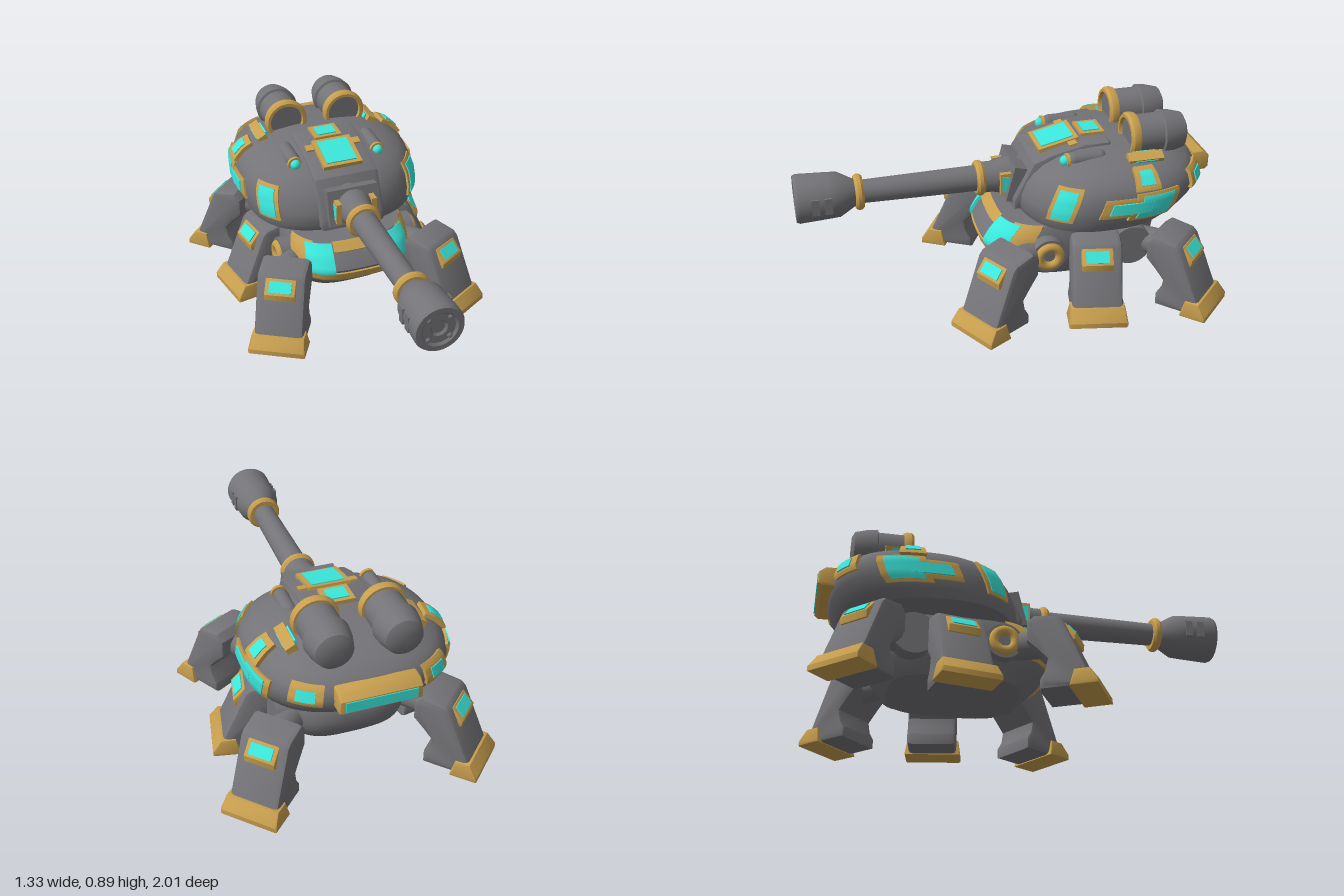
import * as THREE from 'three';
import { mergeVertices, toCreasedNormals } from 'three/addons/utils/BufferGeometryUtils.js';

const mat = (name, color) => Object.assign(new THREE.MeshStandardMaterial({ color }), { name });
const rad = THREE.MathUtils.degToRad;

export function createModel() {
  const grey = mat('hull grey', 0x747478);
  const gold = mat('trim gold', 0xc89f4e);
  const cyan = mat('glow cyan', 0x3cebdf);
  const model = new THREE.Group();
  model.name = 'walkerTank';

  const add = (name, geo, material, pos = [0, 0, 0], rot = [0, 0, 0], parent = model) => {
    const m = new THREE.Mesh(geo, material);
    m.name = name;
    m.position.set(...pos);
    m.rotation.set(...rot);
    parent.add(m);
    return m;
  };
  const box = (x, y, z) => new THREE.BoxGeometry(x, y, z);

  // Grid of points from a rule, with smooth normals and sharp creases
  function grid(fn, nu, nv) {
    const pos = [], idx = [];
    for (let j = 0; j <= nv; j++) for (let i = 0; i <= nu; i++) pos.push(...fn(i, j).toArray());
    for (let j = 0; j < nv; j++) for (let i = 0; i < nu; i++) {
      const a = j * (nu + 1) + i, c = a + nu + 1;
      idx.push(a, a + 1, c + 1, a, c + 1, c);
    }
    const g = new THREE.BufferGeometry();
    g.setAttribute('position', new THREE.Float32BufferAttribute(pos, 3));
    g.setIndex(idx);
    return toCreasedNormals(mergeVertices(g, 1e-5), 0.7);
  }

  // Rounded-square shell; each level is [y, half width, front z, back z]
  function shell(levels, n) {
    const at = (L, t) => {
      const s = Math.sin(t), c = Math.cos(t);
      const r = Math.pow(Math.abs(s) ** n + Math.abs(c) ** n, -1 / n);
      return new THREE.Vector3(s * r * L[1], L[0], (L[2] + L[3]) / 2 + c * r * (L[2] - L[3]) / 2);
    };
    const point = (t, y) => {
      let k = 0;
      while (k < levels.length - 2 && levels[k + 1][0] < y) k++;
      const A = levels[k], B = levels[k + 1], f = (y - A[0]) / (B[0] - A[0]);
      return at(A.map((a, i) => a + (B[i] - a) * f), t);
    };
    const normal = (t, y) => {
      const du = point(t + 0.01, y).sub(point(t - 0.01, y));
      const dv = point(t, y + 0.003).sub(point(t, y - 0.003));
      return du.cross(dv).normalize();
    };
    const geo = grid((i, j) => at(levels[j], i === 64 ? -Math.PI : -Math.PI + i * Math.PI / 32), 64, levels.length - 1);
    // Raised panel that follows the shell between two angles and two heights
    const panel = (name, material, a0, a1, y0, y1, h) => {
      const n = 12, k = i => Math.min(1, Math.max(0, (i - 1) / (n - 2)));
      const g = grid((i, j) => {
        const t = rad(a0 + (a1 - a0) * k(i)), y = y0 + (y1 - y0) * k(j);
        const rim = i === 0 || j === 0 || i === n || j === n;
        return point(t, y).addScaledVector(normal(t, y), rim ? -0.006 : h);
      }, n, n);
      add(name, g, material);
    };
    // The same panel on both sides
    const panels = (name, material, a0, a1, ...rest) => {
      panel(name, material, a0, a1, ...rest);
      panel(name, material, -a1, -a0, ...rest);
    };
    // Gold frame with a glowing pane inside, on both sides
    const windows = (name, a0, a1, y0, y1, da, dy, h = 0.01) => {
      panels(name + 'Frame', gold, a0, a1, y0, y1, h);
      panels(name + 'Pane', cyan, a0 + da, a1 - da, y0 + dy, y1 - dy, h + 0.005);
    };
    return { geo, panel, panels, windows };
  }

  // Lower body with its chest trim
  const body = shell([
    [0.129, 0, -0.3, -0.3], [0.13, 0.26, -0.01, -0.63], [0.2, 0.3, 0.07, -0.7], [0.25, 0.308, 0.12, -0.73],
    [0.3, 0.31, 0.135, -0.74], [0.355, 0.308, 0.1, -0.73], [0.408, 0.295, 0.04, -0.7], [0.412, 0, -0.3, -0.3]], 3.2);
  add('body', body.geo, grey);
  body.panel('chestBand', gold, -56, 56, 0.24, 0.288, 0.01);
  body.panel('chestTopTrim', gold, -24, 24, 0.372, 0.406, 0.01);
  body.panels('chestEdge', gold, 40, 60, 0.265, 0.406, 0.011);
  body.panels('chestPane', cyan, 25, 46, 0.288, 0.404, 0.014);
  add('turretNeck', new THREE.CylinderGeometry(0.22, 0.22, 0.07, 32), grey, [0, 0.42, -0.38]);

  // Turret
  const turret = shell([
    [0.429, 0, -0.45, -0.45], [0.43, 0.42, -0.05, -0.79], [0.47, 0.438, -0.03, -0.86], [0.53, 0.449, -0.035, -0.92],
    [0.59, 0.447, -0.06, -0.94], [0.635, 0.43, -0.09, -0.925], [0.675, 0.39, -0.135, -0.89], [0.71, 0.325, -0.2, -0.83],
    [0.735, 0.23, -0.28, -0.74], [0.748, 0.12, -0.38, -0.62], [0.752, 0, -0.5, -0.5]], 2.5);
  add('turret', turret.geo, grey);
  turret.windows('frontWindow', 44, 60, 0.485, 0.64, 2.5, 0.013);
  turret.windows('sideWindow', 93, 121, 0.49, 0.615, 4, 0.014, 0.012);
  turret.panels('sideWindowTipFrame', gold, 74, 98, 0.51, 0.598, 0.01);
  turret.panels('sideWindowTipPane', cyan, 79, 104, 0.53, 0.58, 0.018);
  turret.windows('upperWindow', 92, 108, 0.625, 0.698, 3.5, 0.014, 0.02);
  turret.windows('rearCornerWindow', 133, 151, 0.57, 0.652, 4, 0.02, 0.016);

  // Side profile pushed across the width
  const profile = (pts, width, bevel) => {
    const shape = new THREE.Shape(pts.map(p => new THREE.Vector2(...p)));
    const g = new THREE.ExtrudeGeometry(shape, {
      depth: width - 2 * bevel, bevelEnabled: true, bevelThickness: bevel, bevelSize: bevel, bevelOffset: -bevel, bevelSegments: 2 });
    return toCreasedNormals(g.translate(0, 0, bevel - width / 2), 0.6);
  };

  // Gun housing and rear bumper
  const housing = profile([[-0.3, 0.45], [-0.015, 0.45], [-0.015, 0.5], [-0.11, 0.685], [-0.2, 0.72],
    [-0.36, 0.757], [-0.48, 0.757], [-0.53, 0.7]], 0.33, 0.018);
  add('gunHousing', housing, grey, [0, 0, 0], [0, -Math.PI / 2, 0]);
  add('gunFrame', box(0.26, 0.18, 0.06), grey, [0, 0.565, -0.035], [-0.25, 0, 0]);
  add('rearBumper', profile([[-0.9, 0.56], [-0.9, 0.66], [-0.955, 0.66], [-0.988, 0.635], [-0.988, 0.575], [-0.97, 0.56]], 0.37, 0.01),
    gold, [0, 0, 0], [0, -Math.PI / 2, 0]);
  add('rearPane', box(0.32, 0.05, 0.012), cyan, [0, 0.605, -0.986]);
  // Roof hatches
  for (const [z, y, tilt, w, d] of [[-0.25, 0.735, 0.235, 0.2, 0.2], [-0.425, 0.758, 0, 0.14, 0.12]]) {
    add('hatchFrame', box(w, 0.024, d), gold, [0, y, z], [tilt, 0, 0]);
    add('hatchPane', box(w - 0.045, 0.034, d - 0.04), cyan, [0, y, z], [tilt, 0, 0]);
  }

  // Cannon, turned along z
  const lathe = (pts, seg = 32) => toCreasedNormals(
    new THREE.LatheGeometry(pts.map(p => new THREE.Vector2(...p)), seg).rotateX(Math.PI / 2), 0.5);
  const Y = 0.56;
  add('cannonBase', lathe([[0.09, -0.1], [0.09, 0], [0.075, 0.06], [0.075, 0.13]]), grey, [0, Y, 0]);
  add('cannonBarrel', lathe([[0.064, 0.05], [0.055, 0.75]]), grey, [0, Y, 0]);
  for (const z of [0.12, 0.7])
    add('barrelRing', lathe([[0.05, -0.02], [0.076, -0.02], [0.086, -0.008], [0.086, 0.008], [0.076, 0.02], [0.05, 0.02]]), gold, [0, Y, z]);
  add('muzzle', lathe([[0.06, 0.71], [0.07, 0.73], [0.107, 0.795], [0.11, 0.84], [0.117, 0.985], [0.11, 1],
    [0.085, 1], [0.075, 0.99], [0.04, 0.99], [0.03, 0.98], [0, 0.98]]), grey, [0, Y, 0]);
  for (let i = 0; i < 4; i++) {
    const a = Math.PI / 4 + i * Math.PI / 2;
    add('muzzleBolt', new THREE.SphereGeometry(0.014, 12, 8), grey, [0.07 * Math.cos(a), Y + 0.07 * Math.sin(a), 0.985]);
  }

  for (const s of [1, -1]) {
    // Cheek plates beside the cannon
    add('cheekFrame', box(0.025, 0.11, 0.11), gold, [s * 0.09, Y, -0.02]);
    add('cheekPane', box(0.01, 0.08, 0.075), cyan, [s * 0.1, Y, -0.01]);
    add('hatchBar', box(0.04, 0.02, 0.04), gold, [s * 0.12, 0.745, -0.31], [0.235, 0, 0]);
    // Roof vents
    add('roofVentFrame', box(0.05, 0.05, 0.17), gold, [s * 0.29, 0.716, -0.61], [0, 0, -s * 0.5]);
    add('roofVentPane', box(0.062, 0.024, 0.11), cyan, [s * 0.29, 0.722, -0.61], [0, 0, -s * 0.5]);
    // Muzzle vents
    for (const z of [0.85, 0.91]) add('muzzleVent', box(0.012, 0.08, 0.035), grey, [s * 0.108, Y, z]);
    // Roof lamps
    add('lampHousing', new THREE.CapsuleGeometry(0.036, 0.12, 6, 16).rotateX(Math.PI / 2), grey, [s * 0.215, 0.714, -0.35]);
    add('lampRim', new THREE.CylinderGeometry(0.037, 0.037, 0.016, 20).rotateX(Math.PI / 2), gold, [s * 0.215, 0.71, -0.255]);
    add('lampLens', new THREE.SphereGeometry(0.026, 16, 10), cyan, [s * 0.215, 0.712, -0.245]);

    // Rear pods
    const pod = new THREE.Group();
    pod.name = 'rearPod';
    pod.position.set(s * 0.155, 0.78, 0);
    model.add(pod);
    add('podBody', lathe([[0, -0.85], [0.06, -0.848], [0.085, -0.835], [0.1, -0.78], [0.106, -0.73],
      [0.094, -0.725], [0.094, -0.575], [0, -0.575]]), grey, [0, 0, 0], [0, 0, 0], pod);
    add('podRing', lathe([[0.09, -0.605], [0.104, -0.605], [0.109, -0.59], [0.109, -0.57], [0.1, -0.558],
      [0.085, -0.558], [0.082, -0.58]]), gold, [0, 0, 0], [0, 0, 0], pod);

    // Hip joints between the legs
    for (const [z, r] of [[-0.14, 0.085], [-0.55, 0.1]])
      add('hipJoint', new THREE.CylinderGeometry(r, r, 0.18, 28), grey, [s * 0.26, 0.285, z], [0, 0, Math.PI / 2]);
    add('hipRing', new THREE.TorusGeometry(0.05, 0.022, 10, 28), gold, [s * 0.35, 0.285, -0.14], [0, Math.PI / 2, 0]);
  }

  // Legs: local x points outward, with the toe tip at the origin
  const legGeo = profile([[-0.01, 0.005], [-0.055, 0.09], [-0.16, 0.335], [-0.185, 0.358], [-0.295, 0.375], [-0.33, 0.34],
    [-0.33, 0.25], [-0.28, 0.2], [-0.235, 0.15], [-0.245, 0.1], [-0.27, 0.06], [-0.27, 0.005]], 0.24, 0.022);
  // Toe cap: a side profile narrowed towards the top
  const toeGeo = profile([[-0.13, 0], [0, 0], [0, 0.025], [-0.04, 0.082], [-0.11, 0.082]], 0.28, 0.008);
  const tp = toeGeo.attributes.position;
  for (let i = 0; i < tp.count; i++) tp.setZ(i, tp.getZ(i) * (1 - 1.3 * Math.max(0, tp.getY(i) - 0.02)));
  // Wedge that carries the shin pane
  const wedgeGeo = profile([[-0.15, 0.245], [-0.112, 0.245], [-0.108, 0.278], [-0.16, 0.338], [-0.19, 0.338]], 0.15, 0.005);
  const legSpots = { front: [0.505, 0.28, -60], middle: [0.58, -0.32, -11], rear: [0.57, -0.91, 45] };
  for (const [name, [x, z, deg]] of Object.entries(legSpots)) for (const s of [1, -1]) {
    const leg = new THREE.Group();
    leg.name = name + 'Leg';
    leg.position.set(s * x, 0, z);
    leg.rotation.y = s > 0 ? rad(deg) : Math.PI - rad(deg);
    model.add(leg);
    add('legShell', legGeo, grey, [0, 0, 0], [0, 0, 0], leg);
    add('toe', toeGeo, gold, [0, 0, 0], [0, 0, 0], leg);
    add('shinFrame', wedgeGeo, gold, [0, 0, 0], [0, 0, 0], leg);
    add('shinPane', box(0.01, 0.056, 0.11), cyan, [-0.134, 0.308, 0], [0, 0, 0.714], leg);
    add('hipLink', new THREE.CylinderGeometry(0.06, 0.07, 0.16, 20), grey, [-0.37, 0.28, 0], [0, 0, Math.PI / 2], leg);
  }
  return model;
}
